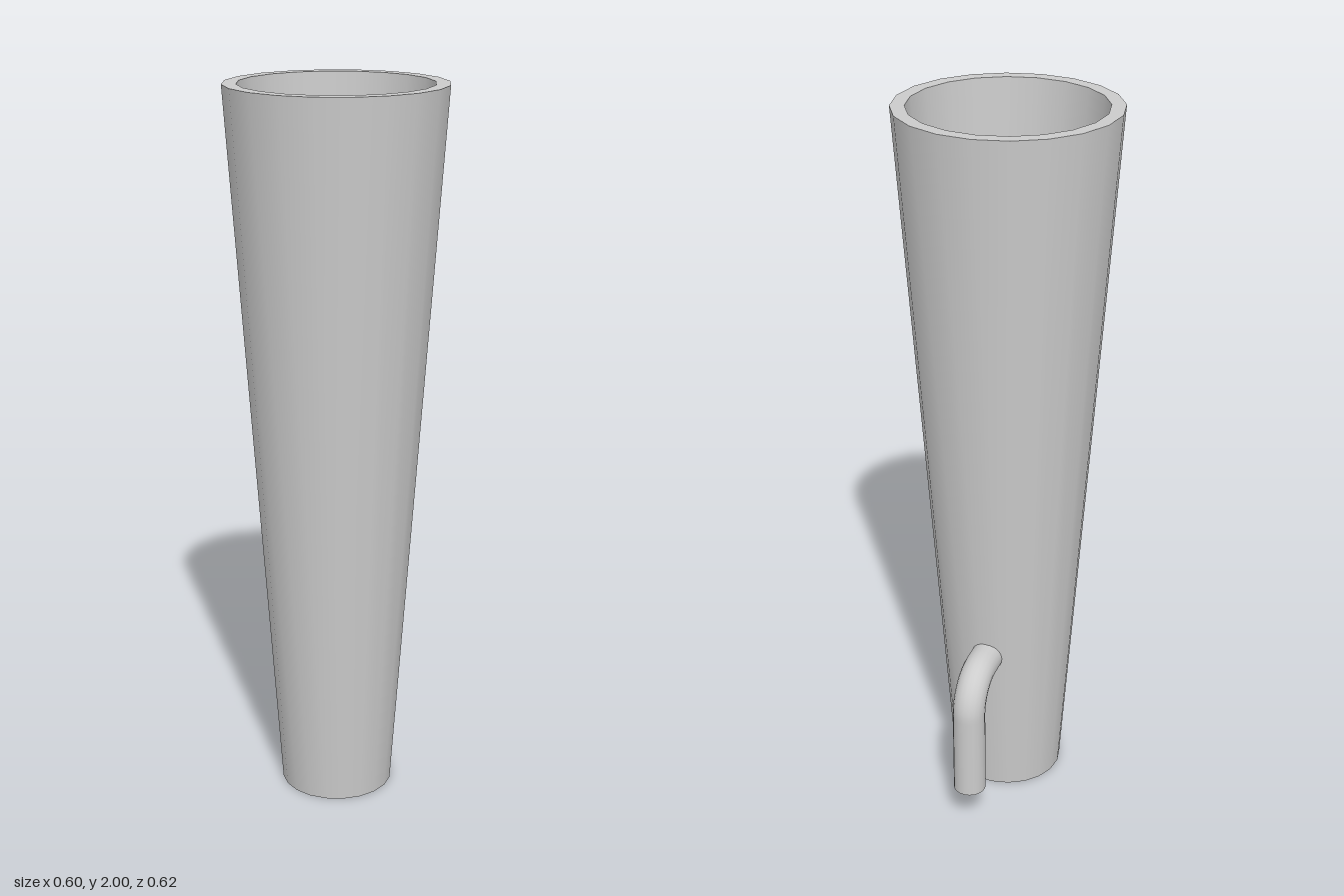
import * as THREE from 'three';
import { mergeGeometries } from 'three/addons/utils/BufferGeometryUtils.js';

const SIDES = 20;

export function createModel() {
  const model = new THREE.Group();
  const grey = new THREE.MeshStandardMaterial({ color: 0xcccccc });
  grey.name = 'light grey';

  const body = new THREE.Group();
  body.name = 'body';
  body.position.z = 0.01;
  model.add(body);

  const add = (parent, name, geometry) => {
    const mesh = new THREE.Mesh(geometry, grey);
    mesh.name = name;
    parent.add(mesh);
    return mesh;
  };

  // Hollow tapered tube: one lathe per wall keeps the rims sharp
  const profile = [[0.157, 0], [0.298, 2], [0.26, 2], [0.139, 0], [0.157, 0]]
    .map(([r, y]) => new THREE.Vector2(r, y));
  const walls = [0, 1, 2, 3].map(i => new THREE.LatheGeometry([profile[i], profile[i + 1]], SIDES));
  add(body, 'taperedTube', mergeGeometries(walls));

  // Side pipe: runs outward from the wall, bends and hangs down
  const pipe = new THREE.Group();
  pipe.name = 'sidePipe';
  pipe.rotation.y = Math.atan2(0.275, -0.188);
  body.add(pipe);

  const reach = 0.333, top = 0.46, bend = 0.1, bottom = 0.115, radius = 0.045;
  const path = new THREE.CurvePath();
  const arc = [];
  for (let i = 0; i <= 12; i++) {
    const a = Math.PI / 2 * (1 - i / 12);
    arc.push(new THREE.Vector3(reach - bend + bend * Math.cos(a), top - bend + bend * Math.sin(a), 0));
  }
  path.add(new THREE.LineCurve3(new THREE.Vector3(0.176, top, 0), arc[0]));
  path.add(new THREE.CatmullRomCurve3(arc));
  path.add(new THREE.LineCurve3(arc[12], new THREE.Vector3(reach, bottom, 0)));
  add(pipe, 'bentPipe', new THREE.TubeGeometry(path, 40, radius, 20));

  // Flat end of the pipe
  const cap = add(pipe, 'pipeEnd', new THREE.CircleGeometry(radius, 20));
  cap.rotation.x = Math.PI / 2;
  cap.position.set(reach, bottom, 0);

  return model;
}
